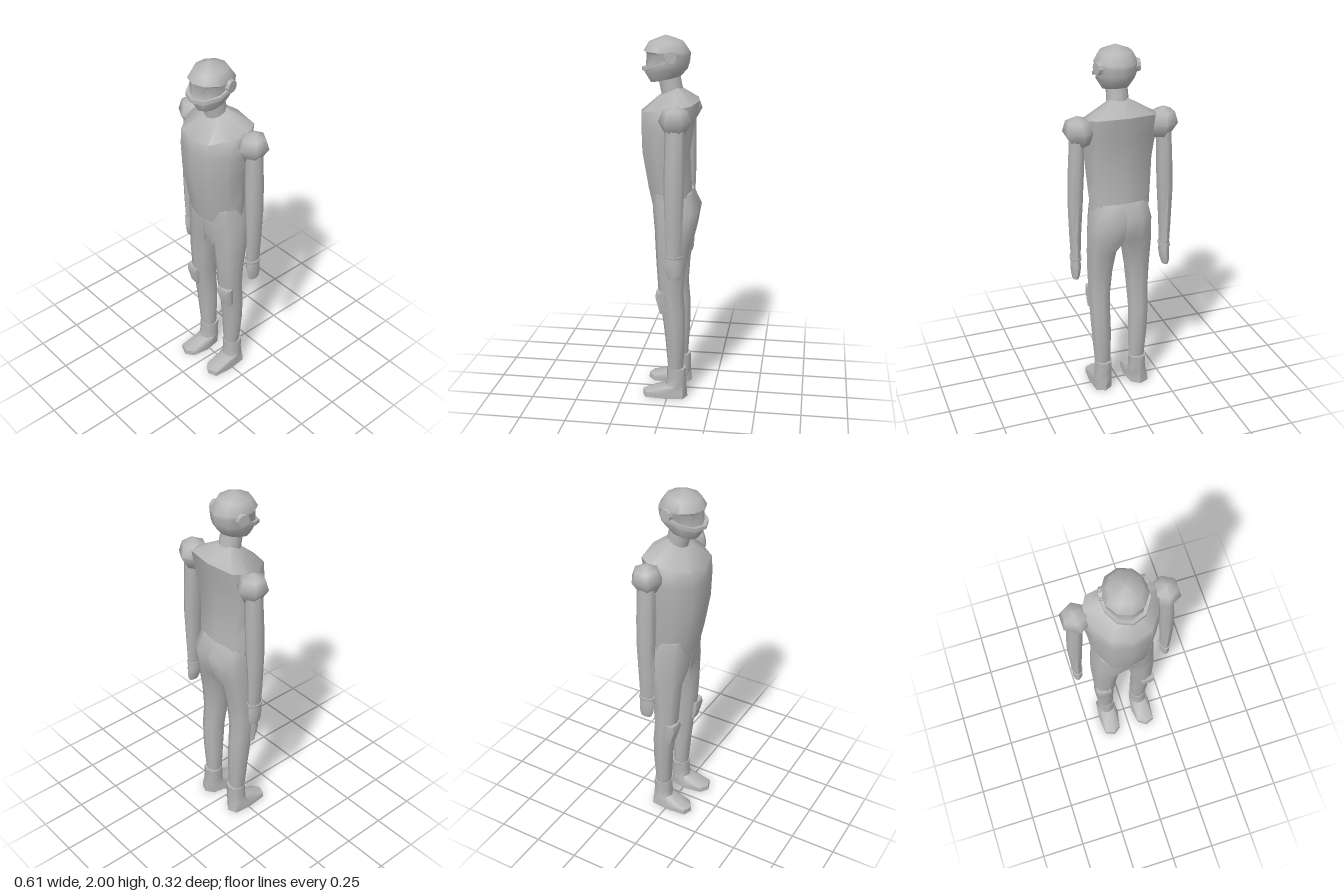
import * as THREE from 'three';
import { toCreasedNormals } from 'three/addons/utils/BufferGeometryUtils.js';

// Skin a stack of rings (each ring runs front -> +x -> back) and cap both ends.
function loft(rings, side = 1, crease = 0.95) {
  const src = side > 0 ? rings : rings.map(r => r.map(([x, y, z]) => [-x, y, z]).reverse());
  const n = src[0].length, last = src.length - 1;
  const centre = r => [0, 1, 2].map(k => r.reduce((s, p) => s + p[k], 0) / n);
  const pos = [...src.flat(), centre(src[0]), centre(src[last])];
  const index = [], c0 = n * src.length;
  for (let i = 0; i < n; i++) {
    const j = (i + 1) % n;
    for (let r = 0; r < last; r++) {
      const a = r * n + i, b = r * n + j;
      index.push(a, b, b + n, a, b + n, a + n);
    }
    index.push(c0, j, i, c0 + 1, last * n + i, last * n + j);
  }
  const geo = new THREE.BufferGeometry();
  geo.setAttribute('position', new THREE.Float32BufferAttribute(pos.flat(), 3));
  geo.setIndex(index);
  return toCreasedNormals(geo, crease);
}

// Symmetric ring from a half outline of [x share, depth share], tilted from yBack to yFront.
const bodyRing = outline => ([w, zf, zb, yf, yb]) => {
  const half = outline.map(([u, t]) => [u * w, yb + (yf - yb) * t, zb + (zf - zb) * t]);
  return [...half, ...half.slice(1, -1).reverse().map(([x, y, z]) => [-x, y, z])];
};
const circleOutline = n => Array.from({ length: n / 2 + 1 }, (_, i) => {
  const a = i * 2 * Math.PI / n;
  return [Math.sin(a), 0.5 + 0.5 * Math.cos(a)];
});

// Eight-point limb ring; ki and ko set how square the inner and outer corners are.
function limbRing([y, xi, xo, zf, zb, ki = 0.72, ko = 0.72]) {
  const cx = (xi + xo) / 2, cz = (zf + zb) / 2, rx = (xo - xi) / 2, rz = (zf - zb) / 2;
  return [[0, 1], [ko, ko], [1, 0], [ko, -ko], [0, -1], [-ki, -ki], [-1, 0], [-ki, ki]]
    .map(([u, v]) => [cx + u * rx, y, cz + v * rz]);
}

export function createModel() {
  const model = new THREE.Group();
  const grey = new THREE.MeshStandardMaterial({ color: 0xb4b4b4 });
  grey.name = 'plain grey';
  const add = (name, geo) => {
    const mesh = new THREE.Mesh(geo, grey);
    mesh.name = name;
    model.add(mesh);
    return mesh;
  };
  const pair = (name, rings, crease) => {
    add('left' + name, loft(rings, 1, crease));
    add('right' + name, loft(rings, -1, crease));
  };

  // Torso: wide flat back, narrower chest, sloping shoulders
  const torsoOutline = [[0, 1], [0.53, 0.92], [0.84, 0.62], [1, 0.32], [0.78, 0.08], [0, 0]];
  add('torso', loft([
    [0.165, 0.100, -0.120, 1.085, 1.140],
    [0.175, 0.125, -0.112, 1.20, 1.23],
    [0.188, 0.156, -0.105, 1.38, 1.39],
    [0.205, 0.160, -0.130, 1.52, 1.54],
    [0.202, 0.158, -0.155, 1.605, 1.66],
    [0.062, 0.065, -0.050, 1.685, 1.735],
  ].map(bodyRing(torsoOutline))));

  // Neck leaning forward
  const round = bodyRing(circleOutline(10));
  add('neck', loft([
    [0.060, 0.045, -0.070, 1.67, 1.70],
    [0.055, 0.070, -0.045, 1.79, 1.82],
  ].map(round)));

  // Helmet with a recessed eye window
  add('helmet', loft([
    [0.066, 0.108, -0.055, 1.755, 1.79],
    [0.098, 0.145, -0.090, 1.815, 1.83],
    [0.105, 0.132, -0.100, 1.84, 1.86],
    [0.110, 0.130, -0.105, 1.908, 1.90],
    [0.114, 0.145, -0.105, 1.918, 1.915],
    [0.084, 0.115, -0.065, 1.968, 1.972],
    [0.008, 0.035, 0.020, 2.0, 2.0],
  ].map(round)));

  // Raised lip running under the window from ear to ear
  const lip = [-3, -2, -1, 0, 1, 2, 3].map(i => {
    const a = Math.min(Math.abs(i) * 36, 98) * Math.sign(i) * Math.PI / 180;
    const y = [1.825, 1.83, 1.852, 1.878][Math.abs(i)], h = 0.009;
    const at = (r, yy) => [Math.sin(a) * (0.12 * r), yy, 0.02 + Math.cos(a) * 0.135 * r];
    return [at(0.85, y + h), at(1, y + h), at(1, y - h), at(0.85, y - h)];
  });
  add('visorLip', loft(lip, 1, 0.7));

  // Ear discs
  for (const s of [1, -1]) {
    const ear = add(s > 0 ? 'leftEarDisc' : 'rightEarDisc',
      toCreasedNormals(new THREE.CylinderGeometry(0.032, 0.037, 0.035, 10), 0.6));
    ear.rotation.set(0, s * 0.2, -s * Math.PI / 2, 'YXZ');
    ear.position.set(s * 0.102, 1.895, -0.012);
  }

  // Shoulder balls: six-sided, points facing front and back
  const ball = [[1.515, 0.048], [1.585, 0.087], [1.645, 0.064], [1.67, 0.008]].map(([y, r]) =>
    Array.from({ length: 6 }, (_, i) => {
      const a = i * Math.PI / 3;
      return [0.229 + (y - 1.585) * 0.1 + r * Math.sin(a), y, -0.055 + r * Math.cos(a)];
    }));
  pair('Shoulder', ball, 1.3);

  // Arms, cuffs and hands
  pair('Arm', [
    [0.87, 0.232, 0.284, -0.012, -0.094],
    [1.00, 0.227, 0.290, -0.006, -0.098],
    [1.20, 0.213, 0.297, 0.000, -0.106],
    [1.35, 0.205, 0.293, 0.000, -0.108],
    [1.54, 0.200, 0.282, -0.004, -0.106],
  ].map(limbRing));
  pair('Cuff', [
    [0.862, 0.226, 0.290, -0.006, -0.099],
    [0.876, 0.226, 0.292, -0.005, -0.100],
  ].map(limbRing));
  pair('Hand', [
    [0.748, 0.246, 0.280, -0.025, -0.088],
    [0.775, 0.238, 0.285, -0.014, -0.096],
    [0.825, 0.230, 0.286, -0.006, -0.098],
    [0.870, 0.234, 0.284, -0.014, -0.092],
  ].map(limbRing));

  // Trouser legs: flat inner sides meet at x = 0 above the crotch
  pair('TrouserLeg', [
    [0.16, 0.056, 0.150, 0.000, -0.085],
    [0.35, 0.052, 0.166, 0.015, -0.096],
    [0.50, 0.054, 0.174, 0.032, -0.096],
    [0.62, 0.048, 0.176, 0.052, -0.086],
    [0.76, 0.034, 0.181, 0.062, -0.096],
    [0.88, 0.014, 0.185, 0.070, -0.118],
    [0.96, 0.000, 0.185, 0.074, -0.138, 0.95],
    [1.08, 0.000, 0.175, 0.085, -0.160, 1],
    [1.17, 0.000, 0.160, 0.085, -0.118, 1],
  ].map(limbRing));

  // Knee pads wrapping the front of each leg
  pair('KneePad', [
    [0.508, 0.099, 0.170, 0.040, 0.000, 0.9, 0.8],
    [0.600, 0.088, 0.177, 0.066, 0.002, 0.9, 0.8],
    [0.632, 0.088, 0.177, 0.060, 0.005, 0.9, 0.8],
  ].map(limbRing), 0.7);

  // Boots: long low toe under an upright shaft
  pair('Boot', [
    [0.000, 0.045, 0.167, 0.143, -0.110, 0.74, 0.84],
    [0.030, 0.045, 0.167, 0.141, -0.108, 0.74, 0.84],
    [0.068, 0.050, 0.160, 0.012, -0.104],
    [0.110, 0.053, 0.155, 0.006, -0.101],
    [0.172, 0.049, 0.156, 0.006, -0.102],
  ].map(limbRing));

  return model;
}
